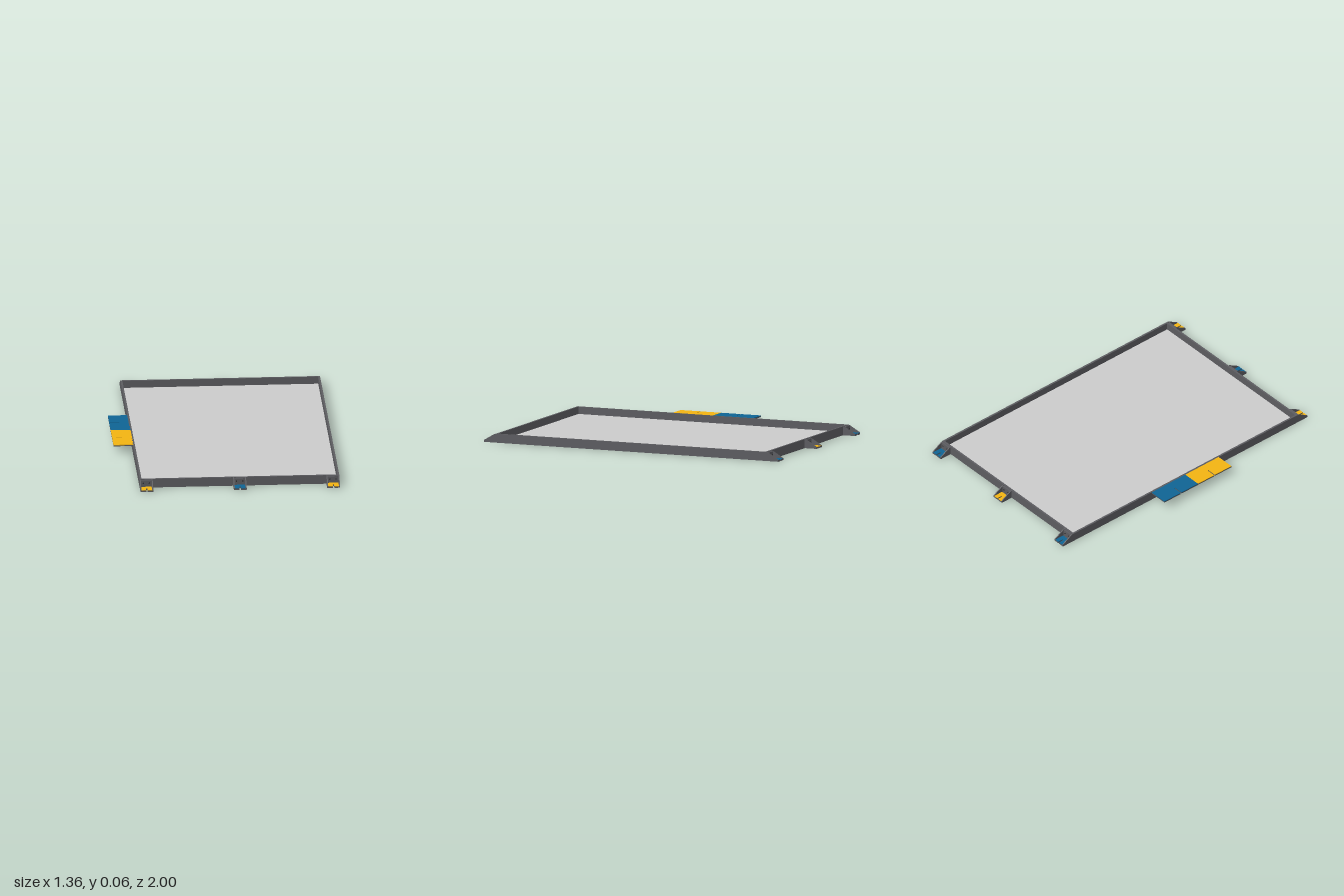
import * as THREE from 'three';

const mat = (color, extra = {}) => new THREE.MeshStandardMaterial({ color, ...extra });
const DARK = mat(0x5c5c60);
const GREY = mat(0xcccccc);
const BLUE = mat(0x0f6494);
const YELLOW = mat(0xf2b412);
const BLACK = mat(0x222224);

const X0 = -0.56, X1 = 0.68, Z = 0.92, TOP = 0.056, WALL = 0.012;

function add(parent, name, geometry, material) {
  const mesh = new THREE.Mesh(geometry, material);
  mesh.name = name;
  parent.add(mesh);
  return mesh;
}

// box given by its lower and upper corners
function box(parent, name, [ax, ay, az], [bx, by, bz], material) {
  const mesh = add(parent, name, new THREE.BoxGeometry(bx - ax, by - ay, bz - az), material);
  mesh.position.set((ax + bx) / 2, (ay + by) / 2, (az + bz) / 2);
  return mesh;
}

// flat plate of width w and depth d (z from 0 to d) with a slot cut in from its outer edge
function slottedPlate(w, d, slotW, slotD, y0, y1) {
  const s = slotW / 2, h = w / 2;
  const pts = [[-h, 0], [h, 0], [h, d], [s, d], [s, d - slotD], [-s, d - slotD], [-s, d], [-h, d]];
  const shape = new THREE.Shape(pts.map(([x, z]) => new THREE.Vector2(x, -z)));
  const g = new THREE.ExtrudeGeometry(shape, { depth: y1 - y0, bevelEnabled: false });
  return g.rotateX(-Math.PI / 2).translate(0, y0, 0);
}

// corner bracket facing +z: back plate, slotted foot, two gussets and two screws
function bracket(color) {
  const g = new THREE.Group();
  box(g, 'bracketBack', [-0.04, 0, 0], [0.04, 0.052, 0.012], DARK);
  add(g, 'bracketFoot', slottedPlate(0.08, 0.08, 0.008, 0.035, 0, 0.009), DARK);
  const pad = add(g, 'bracketPad', slottedPlate(0.066, 0.064, 0.008, 0.035, 0.009, 0.0115), color);
  pad.position.z = 0.016;
  const profile = new THREE.Shape([[0, 0], [0.08, 0], [0.08, 0.012], [0.012, 0.052], [0, TOP]]
    .map(([z, y]) => new THREE.Vector2(z, y)));
  for (const side of [-1, 1]) {
    const gusset = new THREE.ExtrudeGeometry(profile, { depth: 0.006, bevelEnabled: false });
    gusset.rotateY(-Math.PI / 2); // profile runs along +z, thickness along -x
    gusset.translate(side > 0 ? 0.04 : -0.034, 0, 0);
    add(g, 'bracketGusset', gusset, DARK);
    const screw = add(g, 'bracketScrew', new THREE.CylinderGeometry(0.004, 0.004, 0.003, 12), BLACK);
    screw.rotation.x = Math.PI / 2;
    screw.position.set(side * 0.019, 0.034, 0.0125);
  }
  return g;
}

export function createModel() {
  const model = new THREE.Group();
  model.name = 'tray';

  // base and floor
  box(model, 'base', [X0, 0, -Z], [X1, 0.006, Z], DARK);
  box(model, 'floor', [X0 + WALL, 0.006, -Z + WALL], [X1 - WALL, 0.01, Z - WALL], GREY);

  // rim walls
  for (const [a, b] of [[X0, X0 + WALL], [X1 - WALL, X1]])
    box(model, 'sideWall', [a, 0.006, -Z], [b, TOP, Z], DARK);
  for (const [a, b] of [[-Z, -Z + WALL], [Z - WALL, Z]])
    box(model, 'endWall', [X0 + WALL, 0.006, a], [X1 - WALL, TOP, b], DARK);

  // brackets along both ends, colours alternating
  [-0.52, 0.06, 0.64].forEach((x, i) => {
    const front = bracket(i % 2 ? BLUE : YELLOW);
    front.name = 'frontBracket';
    front.position.set(x, 0, Z);
    const back = bracket(i % 2 ? YELLOW : BLUE);
    back.name = 'backBracket';
    back.position.set(x, 0, -Z);
    back.rotation.y = Math.PI;
    model.add(front, back);
  });

  // pair of slotted side tabs at rim height, reaching out towards -x
  for (const side of [-1, 1]) {
    const tab = new THREE.Group();
    tab.name = side < 0 ? 'backTab' : 'frontTab';
    add(tab, 'tabPlate', slottedPlate(0.273, 0.123, 0.008, 0.062, 0.046, 0.052), DARK);
    add(tab, 'tabPad', slottedPlate(0.273, 0.123, 0.008, 0.062, 0.052, TOP), side < 0 ? BLUE : YELLOW);
    tab.rotation.y = -Math.PI / 2;
    tab.position.set(X0 + 0.003, 0, side * 0.1365);
    model.add(tab);
  }
  return model;
}
